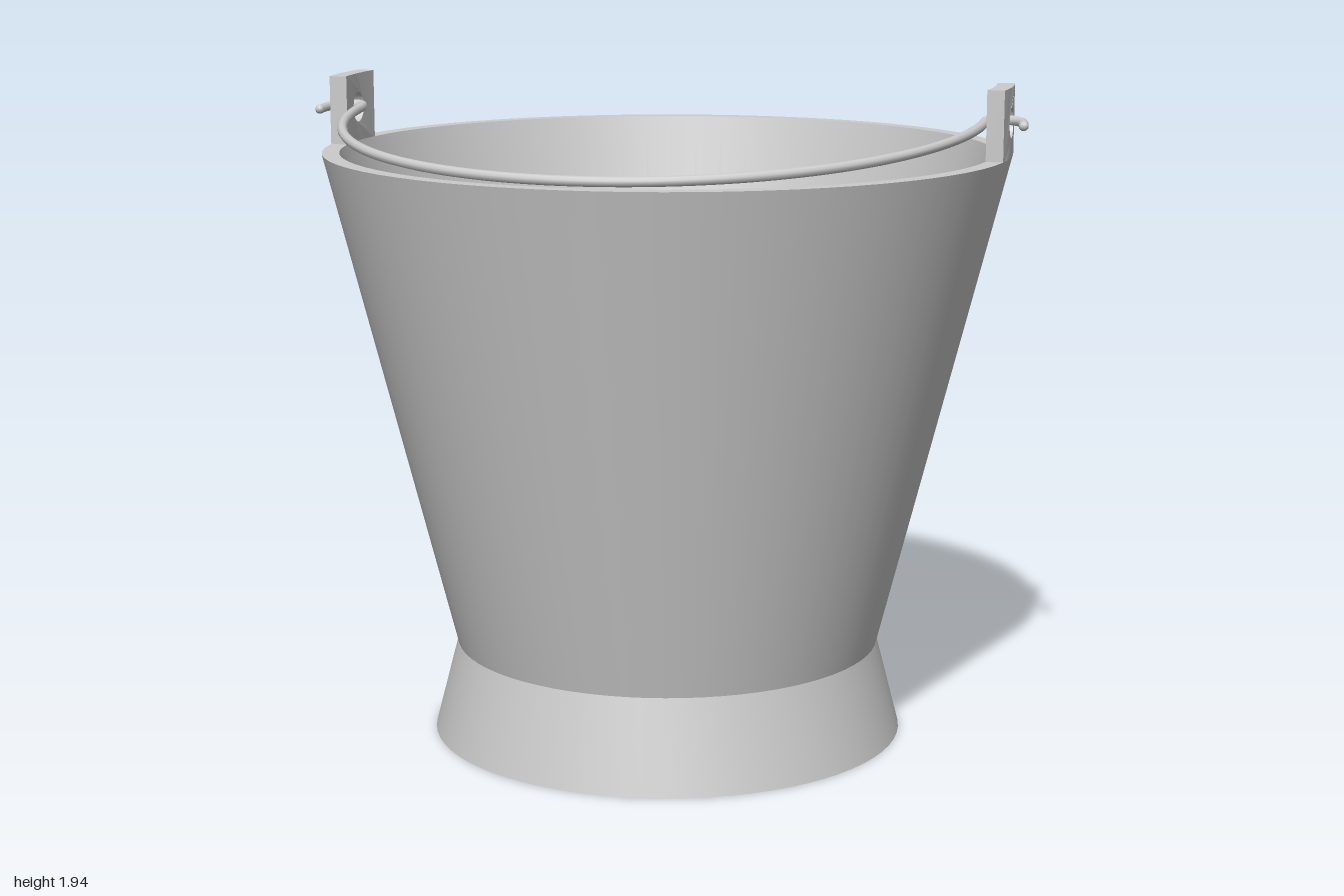
import * as THREE from 'three';
import { toCreasedNormals } from 'three/addons/utils/BufferGeometryUtils.js';

const RIM_Y = 1.74, RIM_IN = 0.95, RIM_OUT = 1.0, PIVOT_Y = 1.845;
const material = new THREE.MeshStandardMaterial({ color: 0xcccccc });

function addMesh(parent, name, geometry) {
  const mesh = new THREE.Mesh(geometry, material);
  mesh.name = name;
  parent.add(mesh);
  return mesh;
}

// Solid of revolution with crisp profile corners
function turned(points) {
  const profile = points.map(([r, y]) => new THREE.Vector2(r, y));
  return toCreasedNormals(new THREE.LatheGeometry(profile, 72), 0.3);
}

// Pierced plate, bent to follow the rim around the +x direction
function earGeometry() {
  const halfAngle = THREE.MathUtils.degToRad(7.1), height = 0.2, steps = 6;
  const shape = new THREE.Shape();
  shape.moveTo(-halfAngle, 0);
  for (let i = 1; i <= steps; i++) shape.lineTo(halfAngle * (2 * i / steps - 1), 0);
  for (let i = 0; i <= steps; i++) shape.lineTo(halfAngle * (1 - 2 * i / steps), height);
  const hole = new THREE.Path();
  hole.absellipse(0, 0.1, 0.044 / RIM_IN, 0.044, 0, Math.PI * 2, true);
  shape.holes.push(hole);

  const geometry = new THREE.ExtrudeGeometry(shape, {
    depth: RIM_OUT - RIM_IN, bevelEnabled: false, curveSegments: 12,
  });
  const p = geometry.attributes.position;
  for (let i = 0; i < p.count; i++) {
    const angle = Math.PI / 2 + p.getX(i), r = RIM_IN + p.getZ(i);
    p.setXYZ(i, r * Math.sin(angle), RIM_Y + p.getY(i), r * Math.cos(angle));
  }
  geometry.computeVertexNormals();
  return toCreasedNormals(geometry, 0.5);
}

// Bail: lowered half ellipse whose ends hook outward through the ears
function handlePath() {
  const hook = [[1.042, 0.08], [1.033, 0.03], [1.008, 0], [0.97, -0.012], [0.943, -0.008], [0.93, 0.02]];
  const flat = [...hook];
  const steps = 32;
  for (let i = 1; i < steps; i++) {
    const a = Math.PI * i / steps;
    flat.push([0.93 * Math.cos(a), Math.sin(a)]);
  }
  flat.push(...hook.map(([x, z]) => [-x, z]).reverse());
  return new THREE.CatmullRomCurve3(
    flat.map(([x, z]) => new THREE.Vector3(x, PIVOT_Y - 0.08 * z, z)));
}

export function createModel() {
  const model = new THREE.Group();
  model.name = 'bucket';

  // Flared foot with closed underside
  addMesh(model, 'foot', turned([[0, 0], [0.7, 0], [0.63, 0.27]]));

  // Tapered wall, flat rim, inner wall and floor
  addMesh(model, 'pail', turned([
    [0.63, 0.27], [RIM_OUT, RIM_Y], [RIM_IN, RIM_Y], [0.59, 0.31], [0, 0.31],
  ]));

  // Ears and handle share one axis, turned from the x axis
  const fittings = new THREE.Group();
  fittings.name = 'handleFittings';
  fittings.rotation.y = THREE.MathUtils.degToRad(32);
  model.add(fittings);

  const ear = earGeometry();
  addMesh(fittings, 'leftEar', ear);
  addMesh(fittings, 'rightEar', ear).rotation.y = Math.PI;

  const rod = 0.014, path = handlePath();
  addMesh(fittings, 'handle', new THREE.TubeGeometry(path, 240, rod, 10));
  for (const end of [0, 1]) {
    addMesh(fittings, 'handleTip', new THREE.SphereGeometry(rod, 10, 8))
      .position.copy(path.getPoint(end));
  }

  return model;
}
